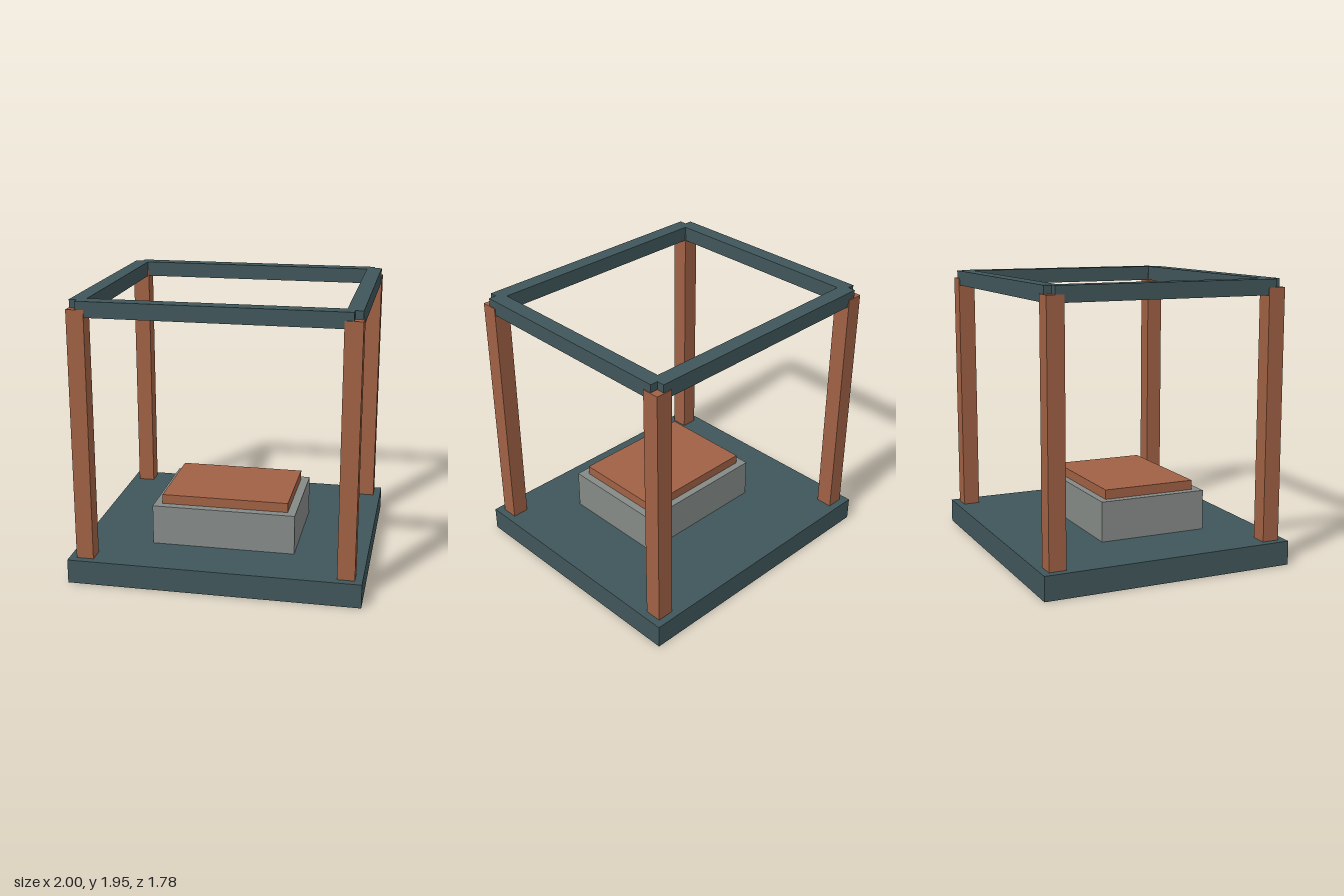
import * as THREE from 'three';

export function createModel() {
  const model = new THREE.Group();
  model.name = 'openFramePavilion';

  const slate = new THREE.MeshStandardMaterial({ color: 0x40565a });
  slate.name = 'slate';
  const timber = new THREE.MeshStandardMaterial({ color: 0x9f6144 });
  timber.name = 'timber';
  const stone = new THREE.MeshStandardMaterial({ color: 0x858a87 });
  stone.name = 'stone';

  // Box given by its size, its centre in plan and the height of its underside
  function addBox(name, material, [w, h, d], x, bottom, z) {
    const mesh = new THREE.Mesh(new THREE.BoxGeometry(w, h, d), material);
    mesh.name = name;
    mesh.position.set(x, bottom + h / 2, z);
    model.add(mesh);
  }

  const baseTop = 0.167;
  const postX = 0.89, postZ = 0.78;
  const postSize = 0.118, postTop = 1.89;
  const beamWidth = 0.106, beamHeight = 0.106, beamBottom = 1.839;

  // Floor slab
  addBox('base', slate, [2, baseTop, 1.78], 0, 0, 0);

  // Plinth with its top panel, set towards the front
  addBox('plinth', stone, [1, 0.28, 0.776], 0, baseTop, 0.112);
  addBox('plinthTop', timber, [0.886, 0.066, 0.666], 0, baseTop + 0.28, 0.108);

  // Corner posts
  for (const [sx, side] of [[1, 'Left'], [-1, 'Right']]) {
    for (const [sz, end] of [[1, 'front'], [-1, 'back']]) {
      addBox(`${end}${side}Post`, timber, [postSize, postTop - baseTop, postSize],
        sx * postX, baseTop, sz * postZ);
    }
  }

  // Top beams, each running between post centres so the corners stay notched
  for (const s of [1, -1]) {
    addBox(s > 0 ? 'frontBeam' : 'backBeam', slate,
      [postX * 2, beamHeight, beamWidth], 0, beamBottom, s * postZ);
    addBox(s > 0 ? 'leftBeam' : 'rightBeam', slate,
      [beamWidth, beamHeight, postZ * 2], s * postX, beamBottom, 0);
  }

  return model;
}
